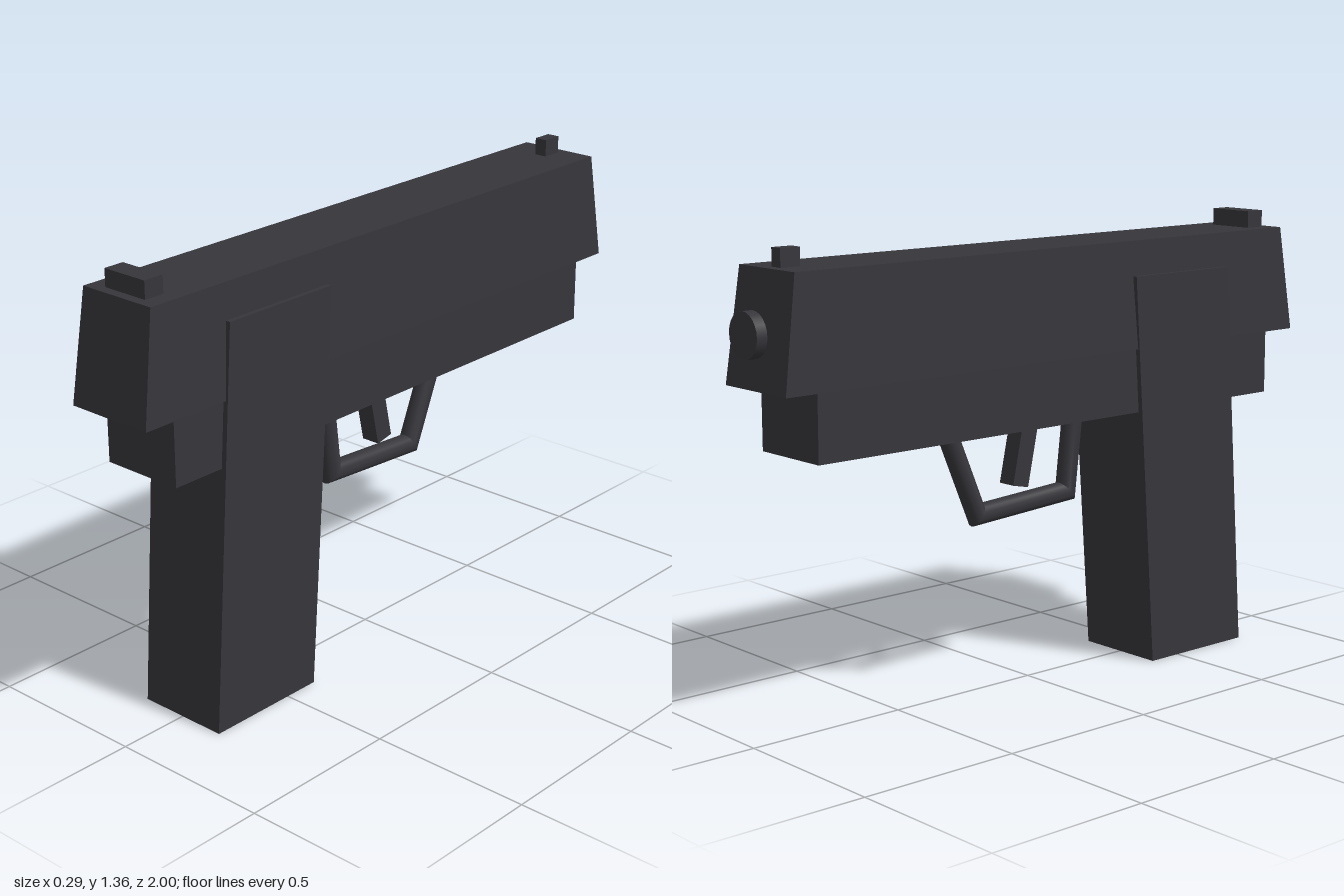
import * as THREE from 'three';
import { toCreasedNormals } from 'three/addons/utils/BufferGeometryUtils.js';

const gunmetal = new THREE.MeshStandardMaterial({ color: 0x36353a });
gunmetal.name = 'gunmetal';

function part(group, name, geometry, x = 0, y = 0, z = 0) {
  const mesh = new THREE.Mesh(geometry, gunmetal);
  mesh.name = name;
  mesh.position.set(x, y, z);
  group.add(mesh);
  return mesh;
}

// Box spanning y0..y1 whose bottom and top faces have their own half width and z range
function taperedBox(y0, y1, bottom, top) {
  const g = new THREE.BoxGeometry(1, 1, 1);
  const p = g.attributes.position;
  for (let i = 0; i < p.count; i++) {
    const up = p.getY(i) > 0;
    const [halfX, zMin, zMax] = up ? top : bottom;
    p.setXYZ(i, Math.sign(p.getX(i)) * halfX, up ? y1 : y0, p.getZ(i) > 0 ? zMax : zMin);
  }
  g.computeVertexNormals();
  return g;
}

// Round bar with mitred corners along points [z, y] in the x = 0 plane
function mitredBar(points, radius, sides) {
  const pts = points.map(([z, y]) => new THREE.Vector2(z, y));
  const n = pts.length - 1;
  const normals = pts.map((pt, i) => {
    const before = pts[Math.max(i, 1)].clone().sub(pts[Math.max(i, 1) - 1]).normalize();
    const j = Math.min(i, n - 1);
    const after = pts[j + 1].clone().sub(pts[j]).normalize();
    const mid = before.clone().add(after).normalize();
    return new THREE.Vector2(-mid.y, mid.x).divideScalar(mid.dot(after));
  });
  const g = new THREE.CylinderGeometry(radius, radius, 1, sides, n);
  const p = g.attributes.position;
  for (let i = 0; i < p.count; i++) {
    const k = Math.round((p.getY(i) + 0.5) * n);
    const s = p.getZ(i);
    p.setXYZ(i, p.getX(i), pts[k].y + normals[k].y * s, pts[k].x + normals[k].x * s);
  }
  // Keep the faces outward after the remap of axes
  const idx = g.index;
  const [a, b, c] = [0, 1, 2].map((k) => new THREE.Vector3().fromBufferAttribute(p, idx.getX(k)));
  const face = b.clone().sub(a).cross(c.clone().sub(a));
  const k = n - 1;
  const axis = new THREE.Vector3(0, (pts[k].y + pts[n].y) / 2, (pts[k].x + pts[n].x) / 2);
  const centre = a.clone().add(b).add(c).divideScalar(3);
  if (face.dot(centre.sub(axis)) < 0) {
    for (let i = 0; i < idx.count; i += 3) {
      const t = idx.getX(i);
      idx.setX(i, idx.getX(i + 1));
      idx.setX(i + 1, t);
    }
  }
  return toCreasedNormals(g, 0.6);
}

export function createModel() {
  const group = new THREE.Group();
  group.name = 'pistol';

  // Main body
  part(group, 'slide', taperedBox(0.985, 1.31, [0.14, -0.965, 1.0], [0.127, -0.92, 0.955]));
  part(group, 'frame', taperedBox(0.79, 0.985, [0.13, -0.857, 0.893], [0.13, -0.857, 0.893]));
  part(group, 'grip', taperedBox(0, 1.205, [0.146, 0.39, 0.78], [0.146, 0.303, 0.695]));

  // Sights
  part(group, 'rearSight', new THREE.BoxGeometry(0.15, 0.06, 0.064), 0, 1.332, 0.893);
  part(group, 'frontSight', new THREE.BoxGeometry(0.04, 0.06, 0.064), 0, 1.332, -0.857);

  // Muzzle disc
  const muzzle = part(group, 'muzzle', new THREE.CylinderGeometry(0.065, 0.065, 0.033, 24), 0, 1.138, -0.983);
  muzzle.rotation.x = Math.PI / 2;

  // Trigger and its guard
  const trigger = part(group, 'trigger', new THREE.BoxGeometry(0.06, 0.175, 0.06), 0, 0.686, -0.036);
  trigger.rotation.x = 0.21;
  part(group, 'triggerGuard',
    mitredBar([[0.18, 0.79], [0.152, 0.553], [-0.2, 0.532], [-0.31, 0.79]], 0.031, 16));

  return group;
}
